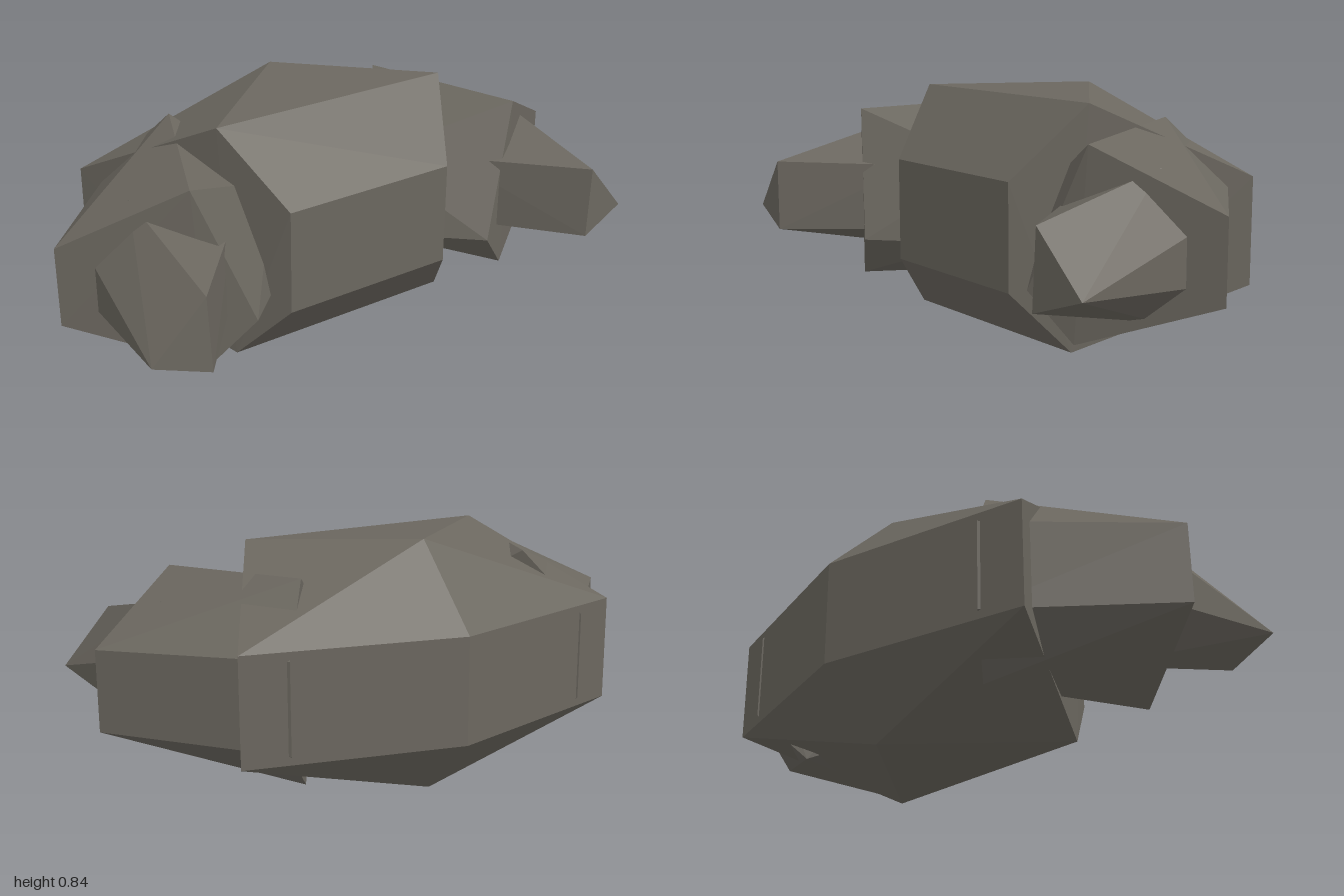
import * as THREE from 'three';
import { ConvexGeometry } from 'three/addons/geometries/ConvexGeometry.js';

export function createModel() {
  const model = new THREE.Group();
  model.name = 'armouredShell';
  const stone = new THREE.MeshStandardMaterial({ color: 0x6b675f });
  stone.name = 'stone grey';

  // Faceted solid wrapped around its corner points; side = -1 mirrors it in x
  function solid(name, corners, side = 1) {
    const points = corners.map(([x, y, z]) => new THREE.Vector3(x * side, y, z));
    const mesh = new THREE.Mesh(new ConvexGeometry(points), stone);
    mesh.name = name;
    model.add(mesh);
  }

  // Central block: five-sided belt, with a triangular cap above and below
  const belt = [[0.32, 0.31], [-0.32, 0.31], [-0.71, -0.385], [0, -0.56], [0.71, -0.385]];
  const body = belt.flatMap(([x, z]) => [[x, 0.22, z], [x, 0.58, z]]);
  body.push([0.45, 0.825, 0.09], [-0.45, 0.825, 0.09], [0, 0.845, -0.295]);
  body.push([0.43, 0.02, 0.14], [-0.43, 0.02, 0.14], [0, 0.005, -0.34]);
  solid('body', body);

  // Shoulder block, sunk into the side of the body
  const shoulder = [
    [1, 0.54, 0.035], [1, 0.27, 0.035],           // outer edge
    [0.56, 0.55, -0.427], [0.56, 0.25, -0.427],   // back edge
    [0.65, 0.73, 0.265], [0.43, 0.757, -0.26],    // top ridge
    [0.615, 0.115, 0.285], [0.44, 0.088, -0.29],  // bottom ridge
    [0.48, 0.27, 0.36],                           // front corner
    [0.2, 0.27, 0.1], [0.2, 0.55, 0.02],          // inside the body
  ];

  // Forward prong: six-sided root tapering to a triangular end
  const prong = [
    [0.76, 0.656, 0.075], [0.76, 0.183, 0.075],
    [0.89, 0.5, 0], [0.89, 0.31, 0],
    [0.45, 0.53, 0.17], [0.45, 0.29, 0.17],
    [0.945, 0.355, 0.535], [0.77, 0.542, 0.555], [0.76, 0.29, 0.56],
  ];

  for (const [label, side] of [['left', 1], ['right', -1]]) {
    solid(label + 'Shoulder', shoulder, side);
    solid(label + 'Prong', prong, side);
  }
  return model;
}
